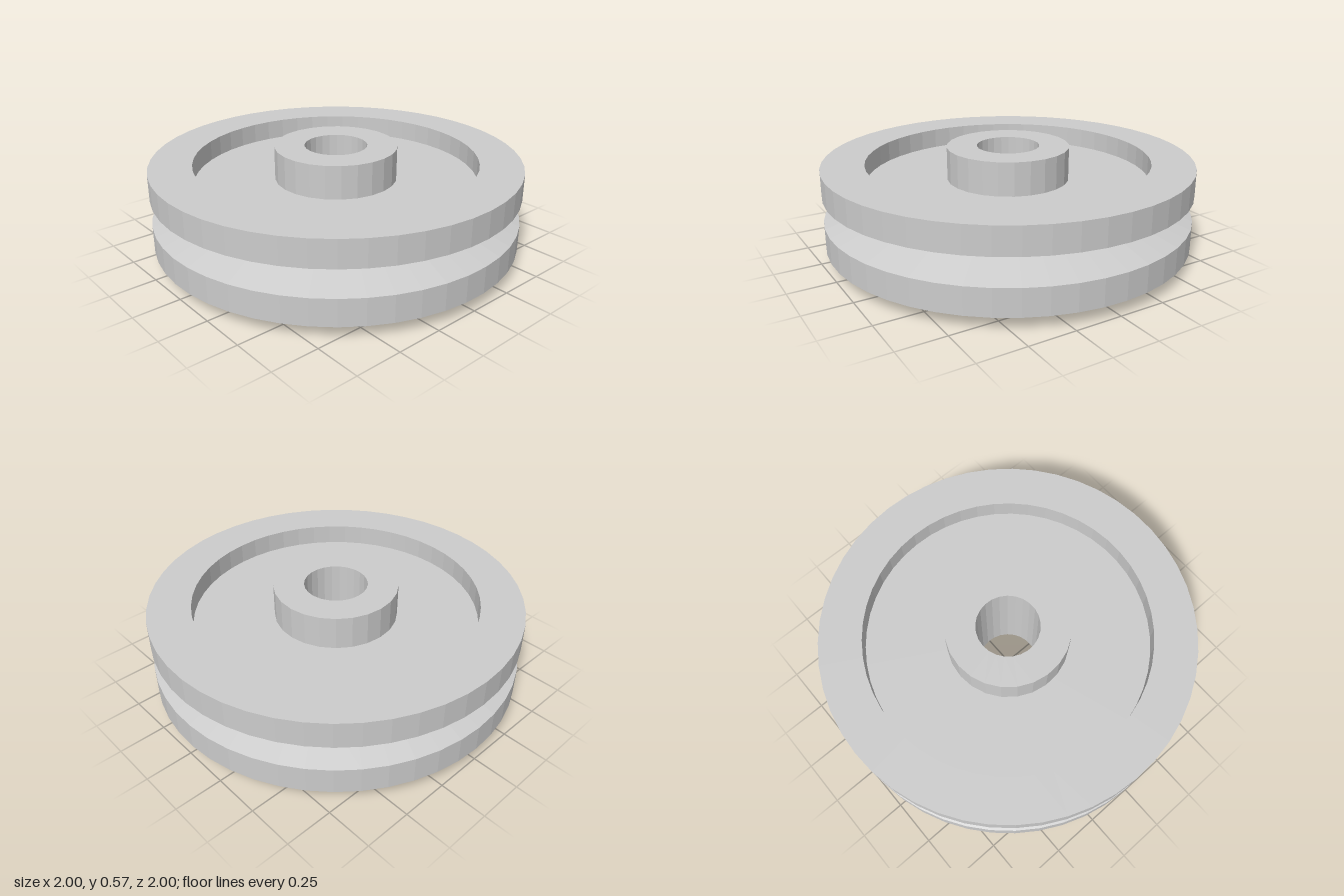
import * as THREE from 'three';

// Revolve a profile of [radius, height] pairs, running counterclockwise
function revolve(name, profile, segments) {
  const points = profile.map(([r, y]) => new THREE.Vector2(r, y));
  const geometry = new THREE.LatheGeometry(points, segments, -Math.PI / 2);
  const material = new THREE.MeshStandardMaterial({ color: 0xcccccc, flatShading: true });
  const mesh = new THREE.Mesh(geometry, material);
  mesh.name = name;
  return mesh;
}

export function createModel() {
  const group = new THREE.Group();
  group.name = 'pulleyWheel';

  const height = 0.57, mid = height / 2;
  const rimHalf = 0.215, webHalf = 0.104, grooveHalf = 0.072;
  const rimR = 1, grooveR = 0.79, recessR = 0.77, hubR = 0.333, boreR = 0.17;
  const webR = 0.325; // web runs just into the hub wall

  // Rim with V groove, and the recessed web on both sides
  group.add(revolve('grooveRimAndWeb', [
    [webR, mid - webHalf],
    [recessR, mid - webHalf],
    [recessR, mid - rimHalf],
    [rimR, mid - rimHalf],
    [rimR, mid - grooveHalf],
    [grooveR, mid],
    [rimR, mid + grooveHalf],
    [rimR, mid + rimHalf],
    [recessR, mid + rimHalf],
    [recessR, mid + webHalf],
    [webR, mid + webHalf],
  ], 49));

  // Hub with a through bore, standing proud of the rim at both ends
  group.add(revolve('hub', [
    [hubR, mid + webHalf],
    [hubR, height],
    [boreR, height],
    [boreR, 0],
    [hubR, 0],
    [hubR, mid - webHalf],
  ], 25));

  return group;
}
